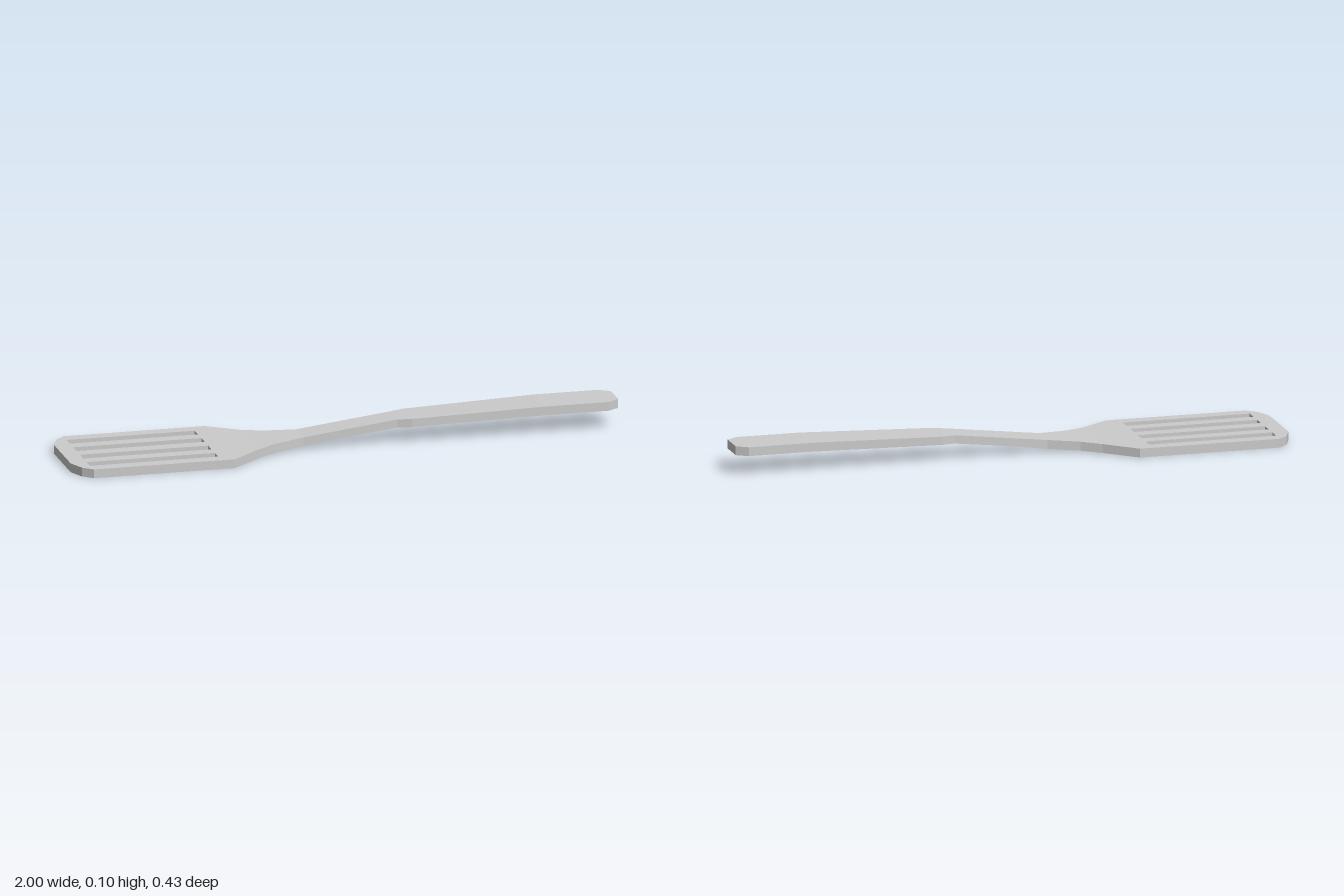
import * as THREE from 'three';

const THICK = 0.032;

// Flat slotted blade, outlined in x/z and extruded upward
function bladeGeometry() {
  const edge = [[-0.43, 0.213], [-0.94, 0.213], [-0.975, 0.18], [-1, 0.12]];
  const outline = [...edge, ...edge.map(([x, z]) => [x, -z]).reverse()];
  const shape = new THREE.Shape(outline.map(([x, z]) => new THREE.Vector2(x, z)));
  for (const z of [-0.142, -0.048, 0.048, 0.142]) {
    const [x0, x1, h] = [-0.942, -0.478, 0.0235];
    shape.holes.push(new THREE.Path([[x0, z - h], [x1, z - h], [x1, z + h], [x0, z + h]]
      .map(([x, y]) => new THREE.Vector2(x, y))));
  }
  const geo = new THREE.ExtrudeGeometry(shape, { depth: THICK, bevelEnabled: false });
  return geo.rotateX(Math.PI / 2).translate(0, THICK, 0);
}

// Rectangular cross-sections [x, half width, bottom y, top y] joined into a bar
function barGeometry(sections, capEnd) {
  const pos = [];
  const quad = (a, b, c, d) => pos.push(...a, ...b, ...c, ...a, ...c, ...d);
  const rings = sections.map(([x, w, lo, hi]) =>
    [[x, lo, w], [x, hi, w], [x, hi, -w], [x, lo, -w]]);
  for (let i = 0; i < rings.length - 1; i++) {
    const [a, b] = [rings[i], rings[i + 1]];
    for (let k = 0; k < 4; k++) {
      const n = (k + 1) % 4;
      quad(a[k], b[k], b[n], a[n]);
    }
  }
  if (capEnd) quad(...rings[rings.length - 1].slice().reverse());
  const geo = new THREE.BufferGeometry();
  geo.setAttribute('position', new THREE.Float32BufferAttribute(pos, 3));
  geo.computeVertexNormals();
  return geo;
}

export function createModel() {
  const group = new THREE.Group();
  group.name = 'spatula';
  const material = new THREE.MeshStandardMaterial({ color: 0xcccccc, flatShading: true });
  const add = (name, geo) => {
    const mesh = new THREE.Mesh(geo, material);
    mesh.name = name;
    group.add(mesh);
  };

  add('slottedBlade', bladeGeometry());

  // Neck tapers from the blade and rises to the grip
  add('neck', barGeometry([
    [-0.43, 0.213, 0, THICK],
    [-0.32, 0.125, 0.003, 0.035],
    [-0.25, 0.085, 0.007, 0.039],
    [-0.14, 0.052, 0.013, 0.045],
    [0, 0.052, 0.033, 0.062],
    [0.2, 0.052, 0.056, 0.086],
  ], false));

  // Grip widens gently and ends in clipped corners
  add('handle', barGeometry([
    [0.2, 0.052, 0.056, 0.086],
    [0.25, 0.066, 0.058, 0.088],
    [0.73, 0.078, 0.07, 0.102],
    [0.96, 0.078, 0.07, 0.102],
    [1, 0.051, 0.07, 0.102],
  ], true));

  return group;
}
